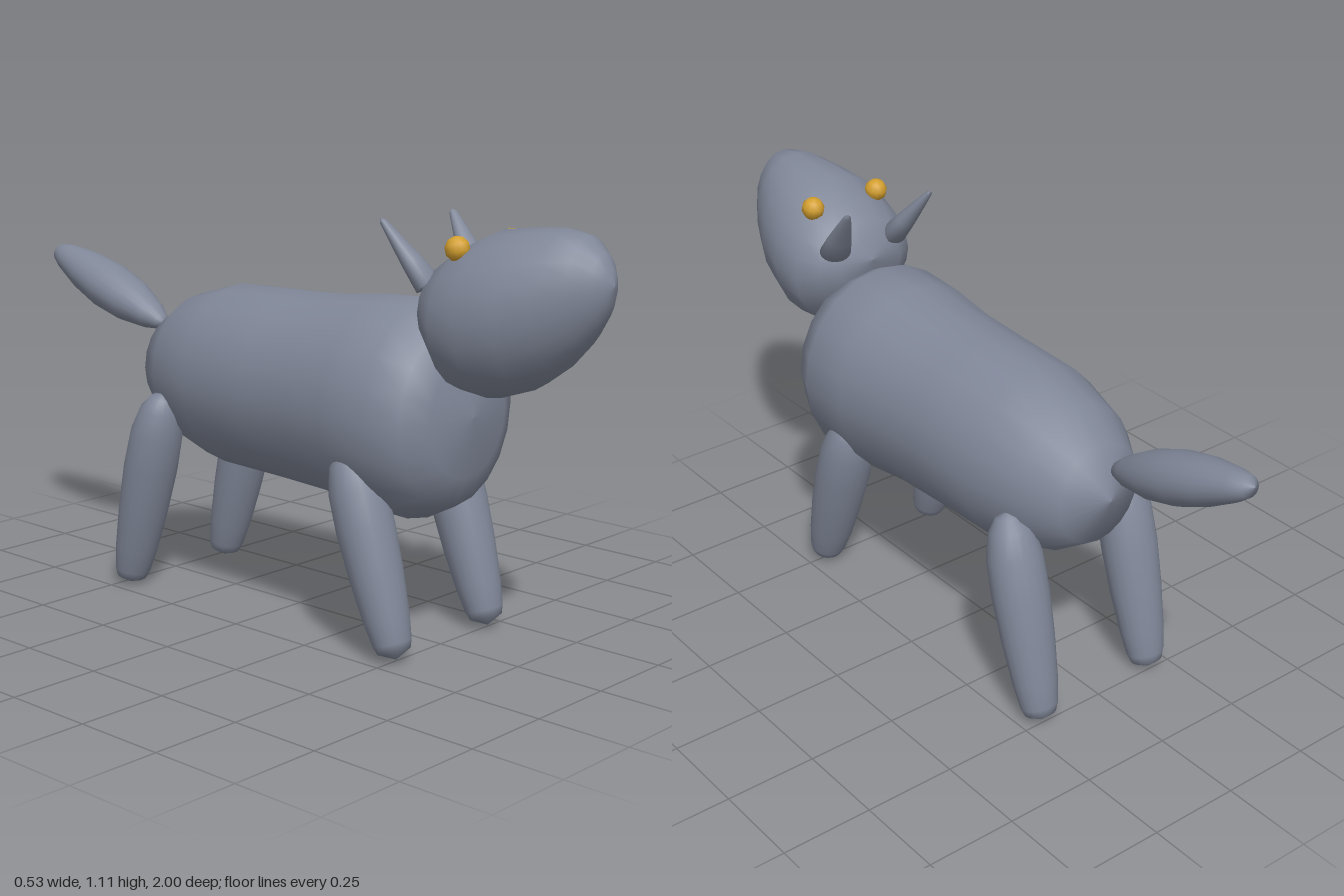
import * as THREE from 'three';

const SIDES = 20;

// Skin over elliptical rings stacked along +z: each ring is [z, centreY, radiusX, radiusY]
function loft(rings) {
  const pos = [], idx = [];
  for (const [z, cy, rx, ry] of rings)
    for (let j = 0; j < SIDES; j++) {
      const a = (j / SIDES) * Math.PI * 2;
      pos.push(rx * Math.cos(a), cy + ry * Math.sin(a), z);
    }
  for (let i = 0; i < rings.length - 1; i++)
    for (let j = 0; j < SIDES; j++) {
      const a = i * SIDES + j, b = i * SIDES + (j + 1) % SIDES;
      idx.push(a, b, b + SIDES, a, b + SIDES, a + SIDES);
    }
  const g = new THREE.BufferGeometry();
  g.setAttribute('position', new THREE.Float32BufferAttribute(pos, 3));
  g.setIndex(idx);
  g.computeVertexNormals();
  return g;
}

export function createModel() {
  const model = new THREE.Group();
  const fur = new THREE.MeshStandardMaterial({ color: 0x808798 });
  fur.name = 'slateFur';
  const gold = new THREE.MeshStandardMaterial({ color: 0xd4a030 });
  gold.name = 'goldEye';

  function add(name, geometry, material) {
    const mesh = new THREE.Mesh(geometry, material);
    mesh.name = name;
    model.add(mesh);
    return mesh;
  }

  // Tapered part from one point to another; profile holds [fraction, radius]
  function limb(name, from, to, profile, flat = 1) {
    const a = new THREE.Vector3(...from), b = new THREE.Vector3(...to);
    const len = a.distanceTo(b);
    const mesh = add(name, loft(profile.map(([t, r]) => [t * len, 0, r, r * flat])), fur);
    mesh.position.copy(a);
    mesh.lookAt(b);
  }

  // Body: [z, radius], slightly narrower than tall
  const body = [
    [-0.522, 0], [-0.475, 0.14], [-0.38, 0.205], [-0.22, 0.25], [0, 0.256], [0.165, 0.263],
    [0.3, 0.28], [0.45, 0.286], [0.54, 0.24], [0.578, 0.16], [0.596, 0],
  ];
  add('body', loft(body.map(([z, r]) => [z, 0.618, r * 0.925, r])), fur);

  // Head: egg with a raised muzzle, [z, bottom, top, half width]
  const head = [
    [0.487, 0.915, 0.915, 0], [0.505, 0.83, 0.965, 0.105], [0.535, 0.77, 1.015, 0.155],
    [0.594, 0.69, 1.055, 0.19], [0.68, 0.68, 1.097, 0.2], [0.78, 0.714, 1.109, 0.176],
    [0.86, 0.77, 1.115, 0.14], [0.925, 0.835, 1.104, 0.097], [0.97, 0.9, 1.065, 0.055],
    [0.99, 0.945, 1.03, 0.028], [1, 0.99, 0.99, 0],
  ];
  add('head', loft(head.map(([z, lo, hi, w]) => [z, (lo + hi) / 2, w, (hi - lo) / 2])), fur);

  // Tail
  limb('tail', [0, 0.717, -0.53], [0, 0.89, -1],
    [[0, 0], [0.03, 0.025], [0.12, 0.046], [0.3, 0.07], [0.5, 0.077], [0.7, 0.067],
      [0.88, 0.046], [0.96, 0.03], [1, 0]], 0.88);

  const legProfile = [
    [0, 0], [0.02, 0.034], [0.08, 0.058], [0.2, 0.075], [0.38, 0.078], [0.6, 0.072],
    [0.8, 0.062], [0.92, 0.052], [0.96, 0.044], [1, 0],
  ];
  const earProfile = [[0, 0], [0, 0.044], [0.35, 0.034], [0.7, 0.021], [0.95, 0.011], [1, 0]];

  // Paired parts
  for (const [side, s] of [['left', 1], ['right', -1]]) {
    limb(side + 'FrontLeg', [s * 0.187, 0.535, 0.338], [s * 0.187, 0.01, 0.508], legProfile, 0.97);
    limb(side + 'BackLeg', [s * 0.187, 0.572, -0.338], [s * 0.187, 0.002, -0.488], legProfile, 0.93);
    limb(side + 'Ear', [s * 0.1, 0.955, 0.525], [s * 0.138, 1.112, 0.402], earProfile, 0.75);
    const eye = add(side + 'Eye', new THREE.SphereGeometry(0.032, 12, 5), gold);
    eye.position.set(s * 0.106, 1.053, 0.618);
    eye.rotation.x = -0.3;
  }
  return model;
}
